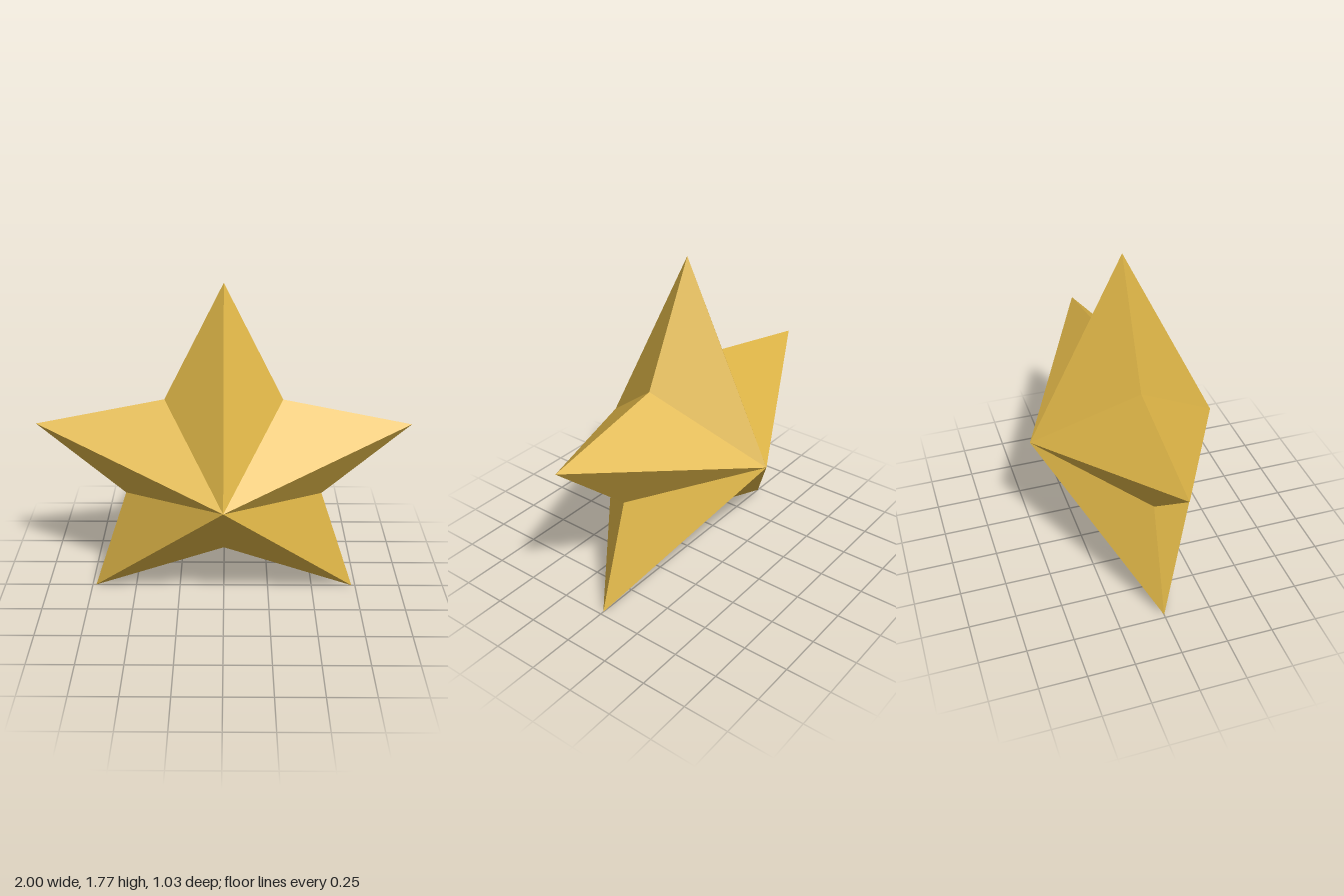
import * as THREE from 'three';

export function createModel() {
  const gold = new THREE.MeshStandardMaterial({ color: 0xdeb547 });
  gold.name = 'gold';

  const centreY = 0.735, depth = 0.515;

  // Right half of the outline, clockwise from the top tip to the lower notch
  const half = [[0, 1.77], [0.313, 1.143], [1, 1.003], [0.535, 0.593], [0.73, 0], [0, 0.248]];
  const mirrored = half.slice(1, -1).reverse().map(([x, y]) => [-x, y]);
  const outline = [...half, ...mirrored];

  // Fan of flat facets from the raised centre to the outline
  function makeFace(side, name) {
    const positions = [];
    outline.forEach(([ax, ay], i) => {
      const [bx, by] = outline[(i + 1) % outline.length];
      const edge = side > 0 ? [bx, by, 0, ax, ay, 0] : [ax, ay, 0, bx, by, 0];
      positions.push(0, centreY, side * depth, ...edge);
    });
    const geometry = new THREE.BufferGeometry();
    geometry.setAttribute('position', new THREE.Float32BufferAttribute(positions, 3));
    geometry.computeVertexNormals();
    const mesh = new THREE.Mesh(geometry, gold);
    mesh.name = name;
    return mesh;
  }

  const star = new THREE.Group();
  star.name = 'star';
  star.add(makeFace(1, 'frontFacets'), makeFace(-1, 'backFacets'));
  return star;
}
